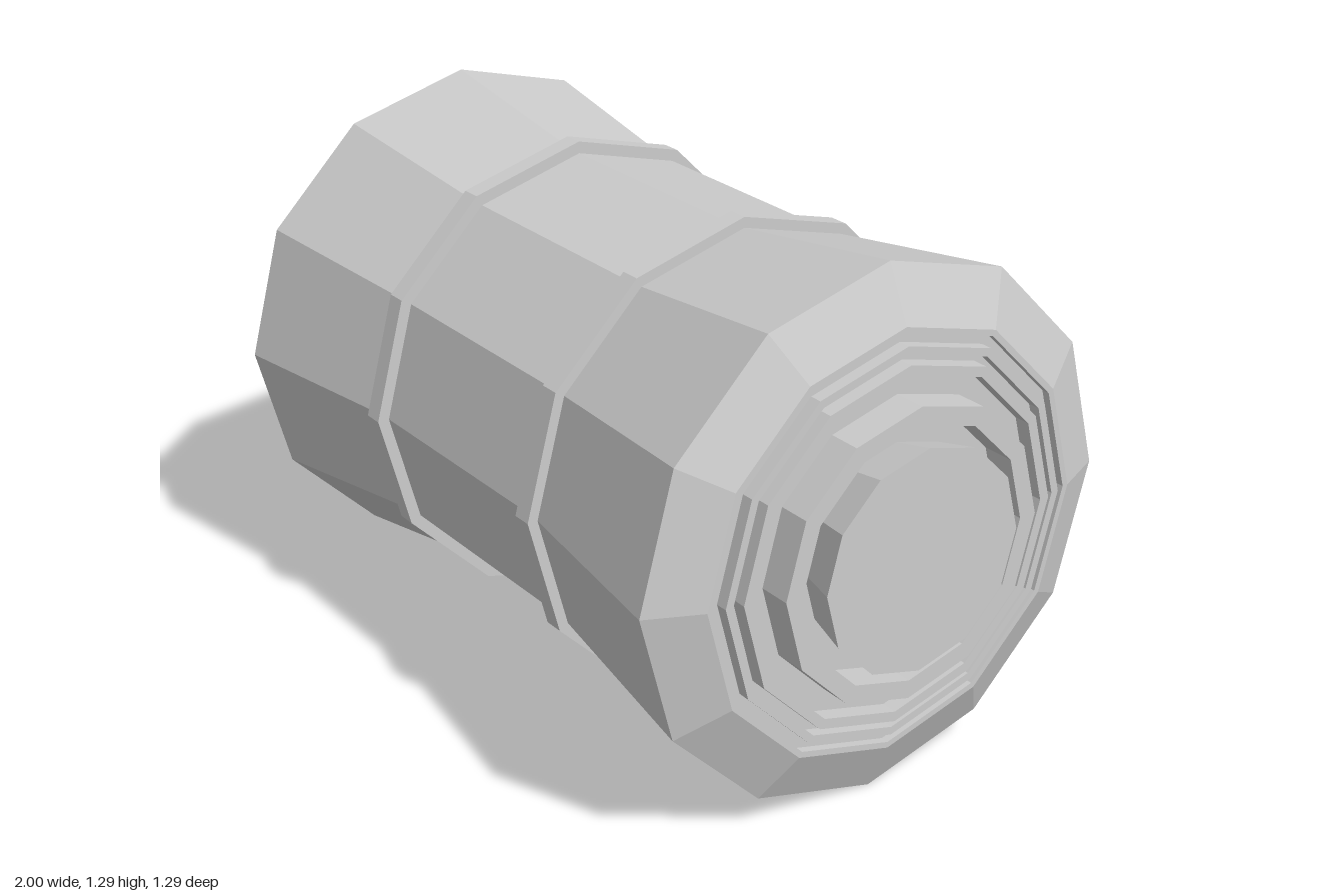
import * as THREE from 'three';

const SIDES = 12;
const AXIS_Y = 0.645;
const material = new THREE.MeshStandardMaterial({ color: 0xcccccc, flatShading: true });

// Faceted solid turned about the x axis; profile is [radius, x] with x rising along the outside
function turned(name, profile) {
  const points = profile.map(([r, x]) => new THREE.Vector2(r, x));
  const geometry = new THREE.LatheGeometry(points, SIDES).rotateZ(-Math.PI / 2);
  const mesh = new THREE.Mesh(geometry, material);
  mesh.name = name;
  return mesh;
}

// Closed ring with a rectangular section
function ring(name, inner, outer, x0, x1) {
  return turned(name, [[inner, x0], [outer, x0], [outer, x1], [inner, x1], [inner, x0]]);
}

// Nested rings and centre hub set into one end of the barrel
function createEndCap(name) {
  const cap = new THREE.Group();
  cap.name = name;
  cap.add(
    ring('outerRing', 0.455, 0.475, 0.88, 0.92),
    ring('middleRing', 0.41, 0.435, 0.88, 0.93),
    ring('innerRing', 0.31, 0.355, 0.88, 0.97),
    turned('hub', [[0.24, 0.88], [0.27, 1], [0, 1]])
  );
  return cap;
}

export function createModel() {
  const model = new THREE.Group();
  model.name = 'barrel';
  const assembly = new THREE.Group();
  assembly.name = 'barrelAssembly';
  assembly.position.y = AXIS_Y;
  model.add(assembly);

  // Waisted body with flared, chamfered ends and a shallow recess in each end
  const half = [[0.565, 0.33], [0.645, 0.85], [0.515, 0.91], [0.5, 0.91], [0.5, 0.89], [0, 0.89]];
  const mirrored = half.map(([r, x]) => [r, -x]).reverse();
  assembly.add(turned('body', [...mirrored, ...half]));

  // Raised bands where the waist meets the flares
  for (const [name, x] of [['leftBand', 0.33], ['rightBand', -0.33]]) {
    assembly.add(ring(name, 0.55, 0.595, x - 0.025, x + 0.025));
  }

  // Matching end caps
  const leftCap = createEndCap('leftEndCap');
  const rightCap = createEndCap('rightEndCap');
  rightCap.rotation.y = Math.PI;
  assembly.add(leftCap, rightCap);

  return model;
}
